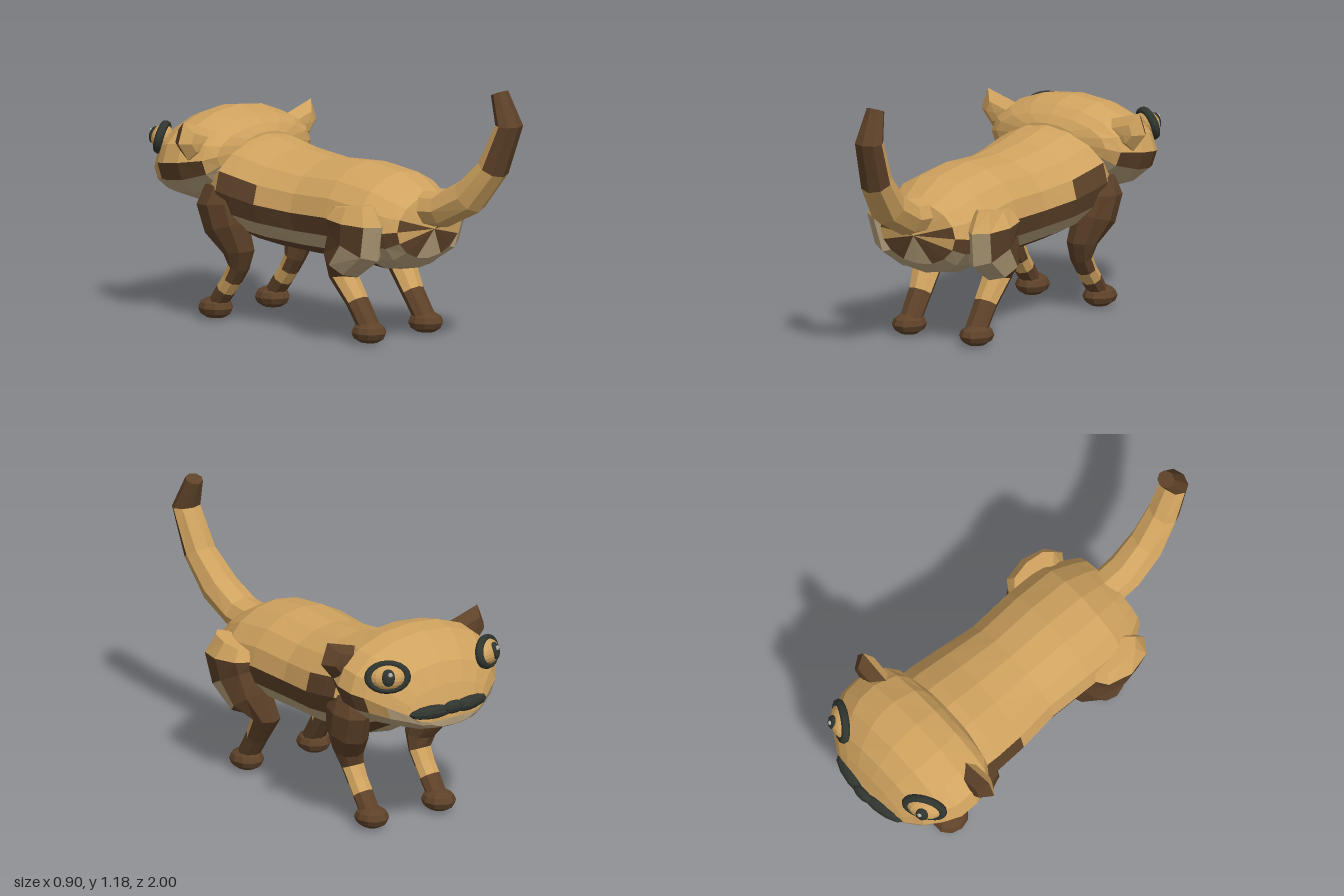
import * as THREE from 'three';

const material = (name, color) => Object.assign(new THREE.MeshStandardMaterial({ color }), { name });
const MATS = [
  material('tan fur', 0xd0a35f),
  material('dark brown fur', 0x5e4229),
  material('cream fur', 0xb8a27d),
  material('near black', 0x30352f),
  material('eye glint', 0xb4b2a6),
];
const TAN = 0, DARK = 1, CREAM = 2, BLACK = 3, GLINT = 4;
const V = (x, y, z) => new THREE.Vector3(x, y, z);

// Flat-faced mesh from triangles sorted by colour
function facetMesh(name, buckets) {
  const geo = new THREE.BufferGeometry(), pos = [];
  buckets.forEach((pts, m) => {
    if (!pts.length) return;
    geo.addGroup(pos.length / 3, pts.length, m);
    pts.forEach(p => pos.push(p.x, p.y, p.z));
  });
  geo.setAttribute('position', new THREE.Float32BufferAttribute(pos, 3));
  geo.computeVertexNormals();
  const mesh = new THREE.Mesh(geo, MATS);
  mesh.name = name;
  return mesh;
}

// Skin over rings; colour(i, j) picks the colour, i = -1 and i = last are the caps
function loft(name, rings, colour, startTip, endTip) {
  const buckets = MATS.map(() => []), n = rings[0].length, last = rings.length - 1;
  for (let j = 0; j < n; j++) {
    const k = (j + 1) % n;
    for (let i = 0; i < last; i++) {
      const a = rings[i][j], b = rings[i][k], c = rings[i + 1][k], d = rings[i + 1][j];
      buckets[colour(i, j)].push(a, b, c, a, c, d);
    }
    buckets[colour(-1, j)].push(startTip, rings[0][k], rings[0][j]);
    buckets[colour(last, j)].push(endTip, rings[last][j], rings[last][k]);
  }
  return facetMesh(name, buckets);
}

// Upright elliptical rings from [z, top, bottom, half width]
const uprightRings = (rows, n) => rows.map(([z, top, bot, w]) =>
  Array.from({ length: n }, (_, j) => {
    const a = j / n * Math.PI * 2;
    return V(w * Math.cos(a), (top + bot) / 2 + (top - bot) / 2 * Math.sin(a), z);
  }));

// Limb along a path of [x, y, z, half width, half depth]
function limb(name, rows, colour, side = 1, n = 8) {
  const c = rows.map(r => V(r[0] * side, r[1], r[2]));
  const rings = rows.map(([, , , rx, rz], i) => {
    const t = c[Math.min(i + 1, c.length - 1)].clone().sub(c[Math.max(i - 1, 0)]).setX(0).normalize();
    const nrm = t.cross(V(1, 0, 0));
    return Array.from({ length: n }, (_, j) => {
      const a = j / n * Math.PI * 2;
      return c[i].clone().add(V(rx * Math.cos(a), 0, 0)).addScaledVector(nrm, rz * Math.sin(a));
    });
  });
  return loft(name, rings, colour, c[0], c[c.length - 1]);
}

function blob(name, mat, r, scale, pos, w = 10, h = 6) {
  const geo = new THREE.SphereGeometry(r, w, h).toNonIndexed();
  geo.scale(...scale);
  geo.computeVertexNormals();
  const mesh = new THREE.Mesh(geo, MATS[mat]);
  mesh.position.set(...pos);
  mesh.name = name;
  return mesh;
}

function makeBody() {
  const rows = [
    [-0.72, 0.68, 0.5, 0.18], [-0.62, 0.78, 0.45, 0.25], [-0.5, 0.83, 0.38, 0.31],
    [-0.42, 0.82, 0.36, 0.31], [-0.28, 0.79, 0.345, 0.3], [-0.08, 0.77, 0.335, 0.275],
    [0.14, 0.78, 0.335, 0.285], [0.34, 0.755, 0.315, 0.285], [0.45, 0.7, 0.335, 0.24],
    [0.505, 0.665, 0.385, 0.205],
  ];
  const flank = [DARK, CREAM, DARK, CREAM], haunch = [DARK, CREAM, CREAM, CREAM], rump = [TAN, DARK, DARK, CREAM];
  return loft('body', uprightRings(rows, 16), (i, j) => {
    const end = i === rows.length - 1;
    if (j === 0 || j === 7) return end || i === 2 || i === 3 ? DARK : TAN; // shoulder patch, rump spoke
    if (j < 8) return TAN;
    return (end ? rump : i >= 7 ? haunch : flank)[j < 12 ? j - 8 : 15 - j];
  }, V(0, 0.59, -0.72), V(0, 0.52, 0.54));
}

function makeHead() {
  const rows = [
    [-0.968, 0.62, 0.55, 0.12], [-0.952, 0.65, 0.54, 0.17], [-0.925, 0.73, 0.53, 0.225],
    [-0.88, 0.82, 0.515, 0.3], [-0.8, 0.9, 0.505, 0.365], [-0.74, 0.925, 0.5, 0.395],
    [-0.65, 0.937, 0.51, 0.398], [-0.54, 0.91, 0.57, 0.355], [-0.5, 0.87, 0.64, 0.3],
    [-0.475, 0.835, 0.7, 0.17],
  ];
  return loft('head', uprightRings(rows, 16), (i, j) => {
    if (j < 8) return TAN;
    if (j === 8 || j === 15) return i >= 4 && i <= 6 ? DARK : i < 3 ? CREAM : TAN; // cheek patch
    return CREAM;
  }, V(0, 0.585, -0.972), V(0, 0.77, -0.465));
}

// Ear: kite outline with an inset plate on each face, tan behind and dark in front
function makeEar(side) {
  const rim = [[0.25, 0.75], [0.385, 0.74], [0.45, 0.82], [0.415, 0.915], [0.23, 0.86]];
  if (side < 0) rim.reverse();
  const centre = [0.35, 0.815];
  const ring = (s, z) => rim.map(([x, y]) =>
    V((centre[0] + (x - centre[0]) * s) * side, centre[1] + (y - centre[1]) * s, z));
  return loft('ear', [ring(0.6, -0.65), ring(1, -0.595), ring(0.5, -0.56)],
    i => i < 1 ? DARK : TAN,
    V(centre[0] * side, centre[1], -0.655), V(centre[0] * side, centre[1], -0.555));
}

function makeEye(side) {
  const eye = new THREE.Group();
  eye.name = 'eye';
  const rim = new THREE.Mesh(new THREE.TorusGeometry(0.085, 0.02, 8, 20), MATS[BLACK]);
  rim.name = 'eyeRim';
  rim.scale.y = 0.72;
  eye.add(rim,
    blob('eyeball', TAN, 0.08, [1, 0.72, 0.6], [0, 0, 0], 16, 10),
    blob('pupil', BLACK, 0.036, [0.9, 1.1, 0.6], [0, 0, 0.038]),
    blob('glint', GLINT, 0.011, [1, 1, 0.7], [0.008 * side, 0.014, 0.058], 6, 4));
  eye.position.set(0.275 * side, 0.8, -0.855);
  eye.lookAt(eye.position.clone().add(V(0.52 * side, 0.25, -0.85)));
  return eye;
}

export function createModel() {
  const model = new THREE.Group();
  model.name = 'animal';
  model.add(makeBody(), makeHead());

  // Nose
  model.add(blob('nose', BLACK, 0.03, [1.9, 1, 0.8], [0, 0.636, -0.976]));

  // Tail, dark along the rear of its upper half and at the tip
  model.add(limb('tail', [
    [0, 0.6, 0.42, 0.09, 0.08], [0, 0.615, 0.6, 0.09, 0.08], [0.012, 0.69, 0.745, 0.085, 0.085],
    [0.035, 0.83, 0.865, 0.075, 0.07], [0.052, 1.03, 0.945, 0.07, 0.055], [0.048, 1.17, 0.89, 0.042, 0.038],
  ], (i, j) => i >= 4 || (i === 3 && j >= 4) ? DARK : TAN));

  for (const side of [1, -1]) {
    model.add(makeEar(side), makeEye(side));

    // Dark upper lip, curving back from the nose
    const lip = blob('lip', BLACK, 0.1, [1.1, 0.32, 0.36], [0.108 * side, 0.625, -0.948]);
    lip.rotation.y = -0.2 * side;
    model.add(lip);

    // Hind leg; faces 0 to 3 look backward
    const thigh = [DARK, CREAM, CREAM, DARK, DARK, DARK, DARK, DARK];
    model.add(limb('hindLeg', [
      [0.27, 0.63, 0.3, 0.05, 0.12], [0.27, 0.56, 0.31, 0.095, 0.16], [0.25, 0.46, 0.29, 0.1, 0.155],
      [0.235, 0.36, 0.21, 0.1, 0.1], [0.19, 0.29, 0.165, 0.07, 0.06], [0.18, 0.18, 0.24, 0.058, 0.045],
      [0.18, 0.06, 0.32, 0.052, 0.045],
    ], (i, j) => {
      if (i < 1) return TAN;
      if (i === 1) return thigh[j];
      if (i === 2) return j < 4 ? CREAM : DARK;
      return i === 4 && j < 4 ? TAN : DARK;
    }, side));

    // Front leg; the pale band is longer on the front faces, 4 to 7
    model.add(limb('frontLeg', [
      [0.25, 0.62, -0.52, 0.05, 0.09], [0.25, 0.54, -0.53, 0.085, 0.12], [0.235, 0.43, -0.5, 0.09, 0.11],
      [0.2, 0.32, -0.46, 0.07, 0.07], [0.185, 0.25, -0.475, 0.055, 0.045], [0.185, 0.19, -0.512, 0.05, 0.042],
      [0.185, 0.14, -0.55, 0.05, 0.042], [0.185, 0.06, -0.61, 0.048, 0.04],
    ], (i, j) => i === 5 || (i === 4 && j >= 4) ? TAN : DARK, side));

    for (const z of [-0.615, 0.315])
      model.add(blob('paw', DARK, 0.05, [1.5, 1, 1.7], [0.185 * side, 0.05, z], 10, 6));
  }
  return model;
}
